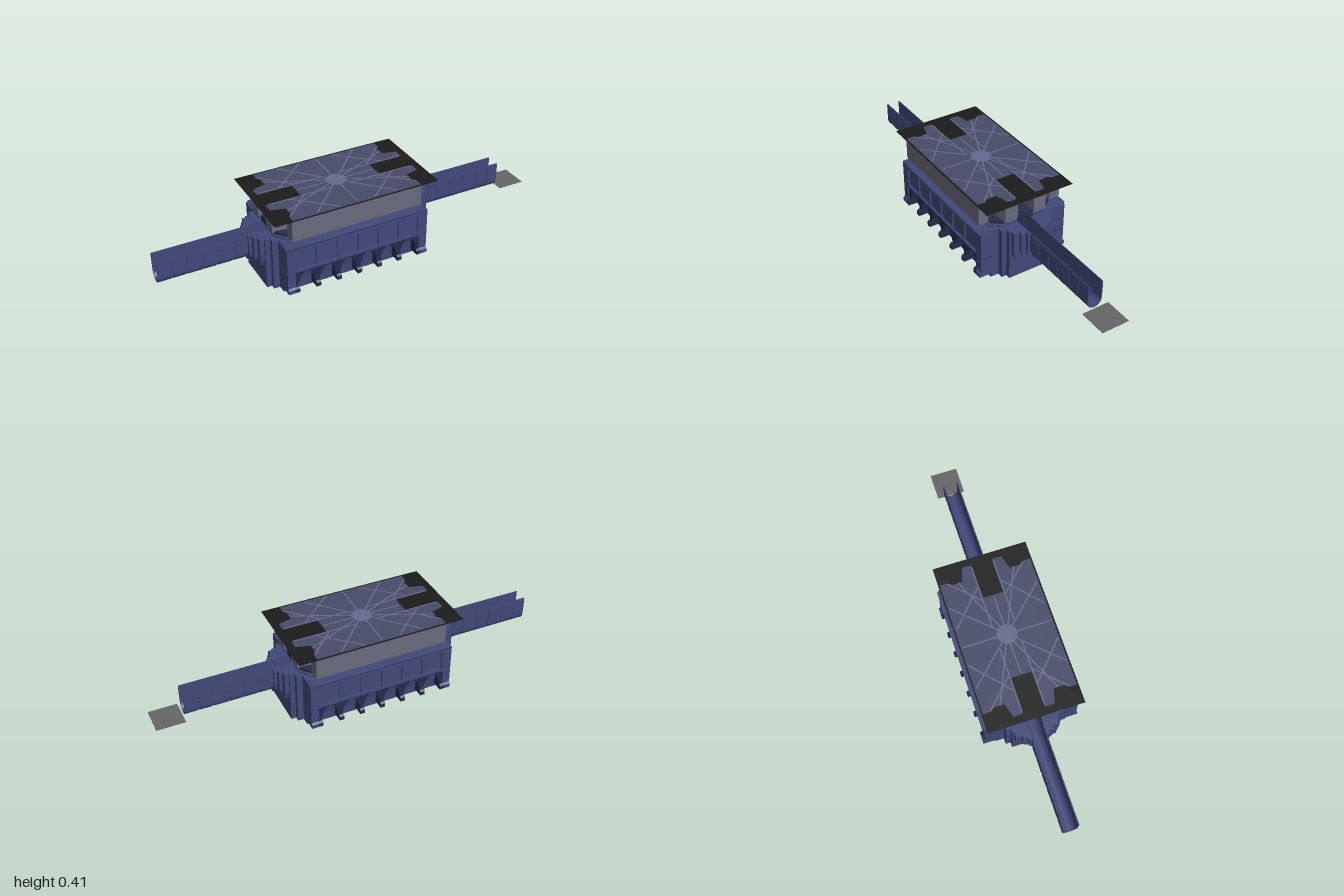
import * as THREE from 'three';

const mat = (color) => new THREE.MeshStandardMaterial({ color, side: THREE.DoubleSide });
const BLUE = mat(0x414878), DARK = mat(0x262b4c), GREY = mat(0x686a7c), BLACK = mat(0x1c1c1c);
const INLAY = mat(0x474b68), STRUT = mat(0x666a8c), TILE = mat(0x666666);

const polygon = (pts) => new THREE.Shape(pts.map(([a, b]) => new THREE.Vector2(a, b)));

// Outline (across, up) with a rounded-bottom slot open at the top
function slot(shape, w, bottom, top) {
  shape.lineTo(w, top);
  shape.lineTo(w, bottom + w);
  shape.absarc(0, bottom + w, w, 2 * Math.PI, Math.PI, true);
  shape.lineTo(-w, top);
  return shape;
}

function uShape(w, bottom, wi, bi, top = 0.27) {
  const s = new THREE.Shape();
  s.moveTo(-w, top);
  s.lineTo(-w, bottom + w);
  s.absarc(0, bottom + w, w, Math.PI, 2 * Math.PI, false);
  s.lineTo(w, top);
  return slot(s, wi, bi, top);
}

// Four-way symmetric plan outline from one quarter, listed from the side to the end
function plan(quarter) {
  const back = [...quarter].reverse();
  const m = (list, sx, sz) => list.map(([x, z]) => [x * sx, z * sz]);
  return polygon([...m(quarter, 1, 1), ...m(back, 1, -1), ...m(quarter, -1, -1), ...m(back, -1, 1)]);
}

export function createModel() {
  const model = new THREE.Group();
  const station = new THREE.Group();
  station.name = 'station';
  station.position.x = -0.075;
  model.add(station);

  const add = (name, geometry, material, x = 0, y = 0, z = 0) => {
    const mesh = new THREE.Mesh(geometry, material);
    mesh.name = name;
    mesh.position.set(x, y, z);
    station.add(mesh);
    return mesh;
  };
  const box = (name, material, w, h, d, x, y, z) =>
    add(name, new THREE.BoxGeometry(w, h, d), material, x, y, z);
  // Extrude a cross-section along x
  const alongX = (name, shape, material, x0, x1) => add(name,
    new THREE.ExtrudeGeometry(shape, { depth: x1 - x0, bevelEnabled: false, curveSegments: 8 })
      .rotateY(Math.PI / 2), material, x0);
  // Extrude a plan upwards
  const upward = (name, shape, material, y0, y1) => add(name,
    new THREE.ExtrudeGeometry(shape, { depth: y1 - y0, bevelEnabled: false })
      .rotateX(-Math.PI / 2), material, 0, y0);

  // Hull core: nested blocks stepped at the ends, with the tunnel slot through them
  for (const [w, half] of [[0.183, 0.375], [0.14, 0.405], [0.115, 0.43]]) {
    const s = new THREE.Shape();
    s.moveTo(-w, 0.27);
    s.lineTo(-w, 0);
    s.lineTo(w, 0);
    s.lineTo(w, 0.27);
    alongX('hullCore', slot(s, 0.037, 0.14, 0.27), BLUE, -half, half);
  }
  alongX('tunnelFloor', polygon([[-0.037, 0.14], [0.037, 0.14], [0.037, 0.215], [0.02, 0.2],
    [0, 0.195], [-0.02, 0.2], [-0.037, 0.215]]), DARK, -0.36, 0.36);

  // Side galleries: upper wall panel with a vault curving in below it
  for (const s of [-1, 1]) {
    const side = (pts) => polygon(pts.map(([z, y]) => [z * s, y]));
    const column = side([[0.17, 0.265], [0.236, 0.265], [0.236, 0.048], [0.245, 0.04],
      [0.245, 0.02], [0.17, 0.02]]);
    alongX('sideWall', side([[0.17, 0.27], [0.243, 0.27], [0.238, 0.258], [0.226, 0.25], [0.226, 0.13],
      [0.208, 0.115], [0.195, 0.085], [0.187, 0.045], [0.184, 0.0], [0.17, 0.0]]), BLUE, -0.365, 0.365);
    for (let i = 0; i < 7; i++) {
      const x = -0.33 + i * 0.11;
      // Buttress widening into the arch above
      const arch = polygon([[-0.008, 0.02], [0.008, 0.02], [0.011, 0.06], [0.022, 0.095],
        [0.05, 0.125], [-0.05, 0.125], [-0.022, 0.095], [-0.011, 0.06]]);
      add('archButtress', new THREE.ExtrudeGeometry(arch, { depth: 0.052, bevelEnabled: false }),
        DARK, x, 0, s > 0 ? 0.178 : -0.23);
      alongX('buttressFoot', side([[0.17, 0.048], [0.236, 0.048], [0.245, 0.04], [0.245, 0.02], [0.17, 0.02]]),
        DARK, x - 0.012, x + 0.012);
      box('wallRib', BLUE, 0.01, 0.12, 0.012, x, 0.19, s * 0.229);
    }
    for (const e of [-1, 1]) alongX('endColumn', column, BLUE, e * 0.355 - 0.02, e * 0.355 + 0.02);
    box('wallRail', BLUE, 0.74, 0.012, 0.014, 0, 0.134, s * 0.23);
    box('wallRail', BLUE, 0.74, 0.01, 0.012, 0, 0.247, s * 0.23);
  }

  for (const e of [-1, 1]) {
    const ends = (name, shape, material, a, b) =>
      alongX(name, shape, material, Math.min(e * a, e * b), Math.max(e * a, e * b));
    // Stepped U collars around each tunnel mouth
    for (const [w, bottom, reach] of [[0.105, 0.065, 0.452], [0.075, 0.1, 0.468], [0.05, 0.12, 0.484]])
      ends('tunnelCollar', uShape(w, bottom, 0.037, 0.14), BLUE, 0.42, reach);
    // Channel arm with raised bands
    ends('arm', uShape(0.036, 0.138, 0.033, 0.144), BLUE, 0.43, 0.925);
    for (const [a, b] of [[0.5, 0.55], [0.56, 0.63], [0.64, 0.7], [0.71, 0.78], [0.79, 0.85], [0.86, 0.925]])
      ends('armBand', uShape(0.039, 0.135, 0.034, 0.142, 0.262), BLUE, a, b);
  }

  // Neck between hull and upper block
  upward('neck', plan([[0.34, 0.163], [0.375, 0.12], [0.375, 0.04]]), DARK, 0.268, 0.302);
  upward('neckFlange', plan([[0.35, 0.172], [0.385, 0.125], [0.385, 0.045], [0.21, 0.045]]), BLUE, 0.28, 0.288);

  // Upper block with corner recesses and a channel in each end
  upward('upperBlock', plan([[0.34, 0.227], [0.34, 0.172], [0.305, 0.165], [0.305, 0.122], [0.39, 0.112],
    [0.39, 0.045], [0.205, 0.045]]), GREY, 0.298, 0.411);
  for (const e of [-1, 1])
    for (let i = 0; i < 16; i++)
      box('channelSlat', BLUE, 0.01, 0.006, 0.078, e * 0.206, 0.275 + i * 0.009, 0);

  // Roof plate, inlay and star braces
  box('roofPlate', BLACK, 0.855, 0.002, 0.472, 0, 0.412, 0);
  upward('roofInlay', plan([[0.335, 0.228], [0.335, 0.19], [0.32, 0.17], [0.32, 0.12],
    [0.39, 0.1], [0.39, 0.053], [0.21, 0.05], [0.21, 0.045]]), INLAY, 0.412, 0.414);
  const brace = (x0, z0, x1, z1) => {
    const b = box('roofBrace', STRUT, Math.hypot(x1 - x0, z1 - z0), 0.002, 0.007,
      (x0 + x1) / 2, 0.414, (z0 + z1) / 2);
    b.rotation.y = -Math.atan2(z1 - z0, x1 - x0);
  };
  for (const sx of [-1, 1]) for (const sz of [-1, 1]) {
    brace(0, 0, sx * 0.21, sz * 0.222);
    brace(0, 0, sx * 0.32, sz * 0.14);
    brace(sx * 0.09, sz * 0.222, sx * 0.27, sz * 0.06);
    brace(sx * 0.2, sz * 0.06, sx * 0.33, sz * 0.19);
    brace(sx * 0.05, sz * 0.055, sx * 0.38, sz * 0.055);
  }
  brace(0, -0.22, 0, 0.22);
  brace(-0.2, 0, 0.2, 0);
  add('roofHub', new THREE.CylinderGeometry(0.05, 0.05, 0.002, 16), STRUT, 0, 0.414, 0);

  // Flat landing pad at the end of one arm
  box('landingPad', TILE, 0.142, 0.002, 0.142, 1.004, 0.135, 0);

  return model;
}
